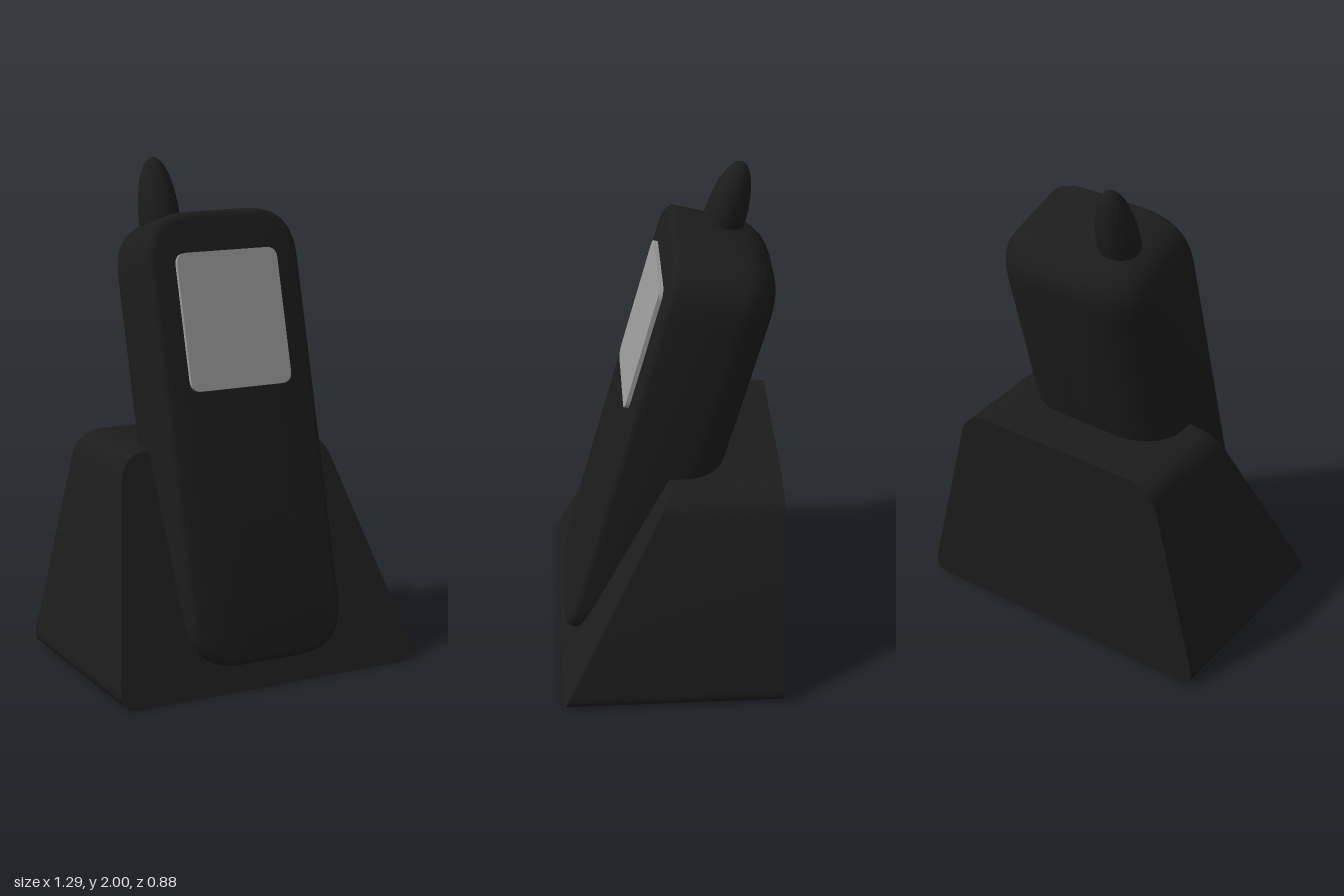
import * as THREE from 'three';
import { mergeVertices, toCreasedNormals } from 'three/addons/utils/BufferGeometryUtils.js';

const black = new THREE.MeshStandardMaterial({ color: 0x1c1c1c });
const grey = new THREE.MeshStandardMaterial({ color: 0x999999 });

// Closed counter-clockwise polygon whose corners are rounded over a given reach
function roundedPolygon(corners, reaches) {
  const shape = new THREE.Shape();
  const pts = corners.map(([x, y]) => new THREE.Vector2(x, y));
  const n = pts.length;
  const toward = (from, to, d) => from.clone().add(to.clone().sub(from).setLength(d));
  const start = toward(pts[0], pts[1], reaches[0]);
  shape.moveTo(start.x, start.y);
  for (let k = 1; k <= n; k++) {
    const p = pts[k % n], r = reaches[k % n];
    const a = toward(p, pts[k - 1], r);
    const b = toward(p, pts[(k + 1) % n], r);
    shape.lineTo(a.x, a.y);
    shape.quadraticCurveTo(p.x, p.y, b.x, b.y);
  }
  return shape;
}

const roundedRect = (hx, hy, r) =>
  roundedPolygon([[-hx, -hy], [hx, -hy], [hx, hy], [-hx, hy]], [r, r, r, r]);

// Skin a stack of equal-length outlines running from front to back
function loft(rings) {
  const position = [], index = [];
  const n = rings[0].points.length;
  for (const { points, z } of rings) for (const p of points) position.push(p.x, p.y, z);
  for (let k = 0; k < rings.length - 1; k++) {
    for (let i = 0; i < n - 1; i++) {
      const a = k * n + i, b = a + 1, c = a + n, d = c + 1;
      index.push(a, c, d, a, d, b);
    }
  }
  const last = rings.length - 1;
  const front = rings.length * n, back = front + 1;
  position.push(0, 0, rings[0].z, 0, 0, rings[last].z);
  for (let i = 0; i < n - 1; i++) {
    index.push(front, i, i + 1, back, last * n + i + 1, last * n + i);
  }
  const g = new THREE.BufferGeometry();
  g.setAttribute('position', new THREE.Float32BufferAttribute(position, 3));
  g.setIndex(index);
  return toCreasedNormals(mergeVertices(g), 0.7);
}

function part(name, geometry, material, parent) {
  const mesh = new THREE.Mesh(geometry, material);
  mesh.name = name;
  parent.add(mesh);
  return mesh;
}

// Charging cradle: rounded trapezoid with a sloping front
function cradleGeometry() {
  const outline = roundedPolygon(
    [[-0.66, 0], [0.66, 0], [0.445, 0.885], [-0.445, 0.885]], [0.075, 0.075, 0.11, 0.11]);
  const g = new THREE.ExtrudeGeometry(outline, { depth: 1, bevelEnabled: false, curveSegments: 8 });
  const p = g.attributes.position;
  for (let i = 0; i < p.count; i++) {
    const frontZ = 0.44 - 0.497 * p.getY(i);
    p.setZ(i, THREE.MathUtils.lerp(-0.44, frontZ, p.getZ(i)));
  }
  g.deleteAttribute('normal');
  g.deleteAttribute('uv');
  return toCreasedNormals(g, 0.6);
}

// Handset body: crisp front edge, generously rounded back
function bodyGeometry() {
  const rings = [];
  const add = (z, insetX, insetY) => rings.push({
    z, points: roundedRect(0.33 - insetX, 0.8875 - insetY, 0.2 - 0.55 * insetX).getPoints(6),
  });
  for (let i = 0; i <= 4; i++) {
    const t = (i / 4) * Math.PI / 2;
    const inset = 0.03 * (1 - Math.sin(t));
    add(-0.03 * (1 - Math.cos(t)), inset, inset);
  }
  for (let i = 0; i <= 7; i++) {
    const t = (i / 7) * Math.PI / 2;
    add(-0.275 - 0.16 * Math.sin(t), 0.19 * (1 - Math.cos(t)), 0.14 * (1 - Math.cos(t)));
  }
  return loft(rings);
}

export function createModel() {
  const model = new THREE.Group();
  model.name = 'cordlessPhone';
  part('cradle', cradleGeometry(), black, model);

  // Handset leans back; its local origin is the foot of the front face
  const handset = new THREE.Group();
  handset.name = 'handset';
  handset.position.set(0, 0.12, 0.425);
  handset.rotation.x = -0.262;
  model.add(handset);

  part('body', bodyGeometry(), black, handset).position.y = 0.8675;

  // Screen panel
  const screen = new THREE.ExtrudeGeometry(roundedRect(0.22, 0.27, 0.045),
    { depth: 0.022, bevelEnabled: false, curveSegments: 6 });
  part('screen', screen, grey, handset).position.set(0, 1.32, -0.005);

  // Stubby antenna
  const profile = [new THREE.Vector2(0.082, -0.08)];
  for (let i = 0; i <= 12; i++) {
    const t = (i / 12) * Math.PI / 2;
    profile.push(new THREE.Vector2(0.082 * Math.cos(t), 0.255 * Math.sin(t)));
  }
  profile[profile.length - 1].x = 0;
  part('antenna', new THREE.LatheGeometry(profile, 24), black, handset)
    .position.set(-0.16, 1.75, -0.218);

  return model;
}
